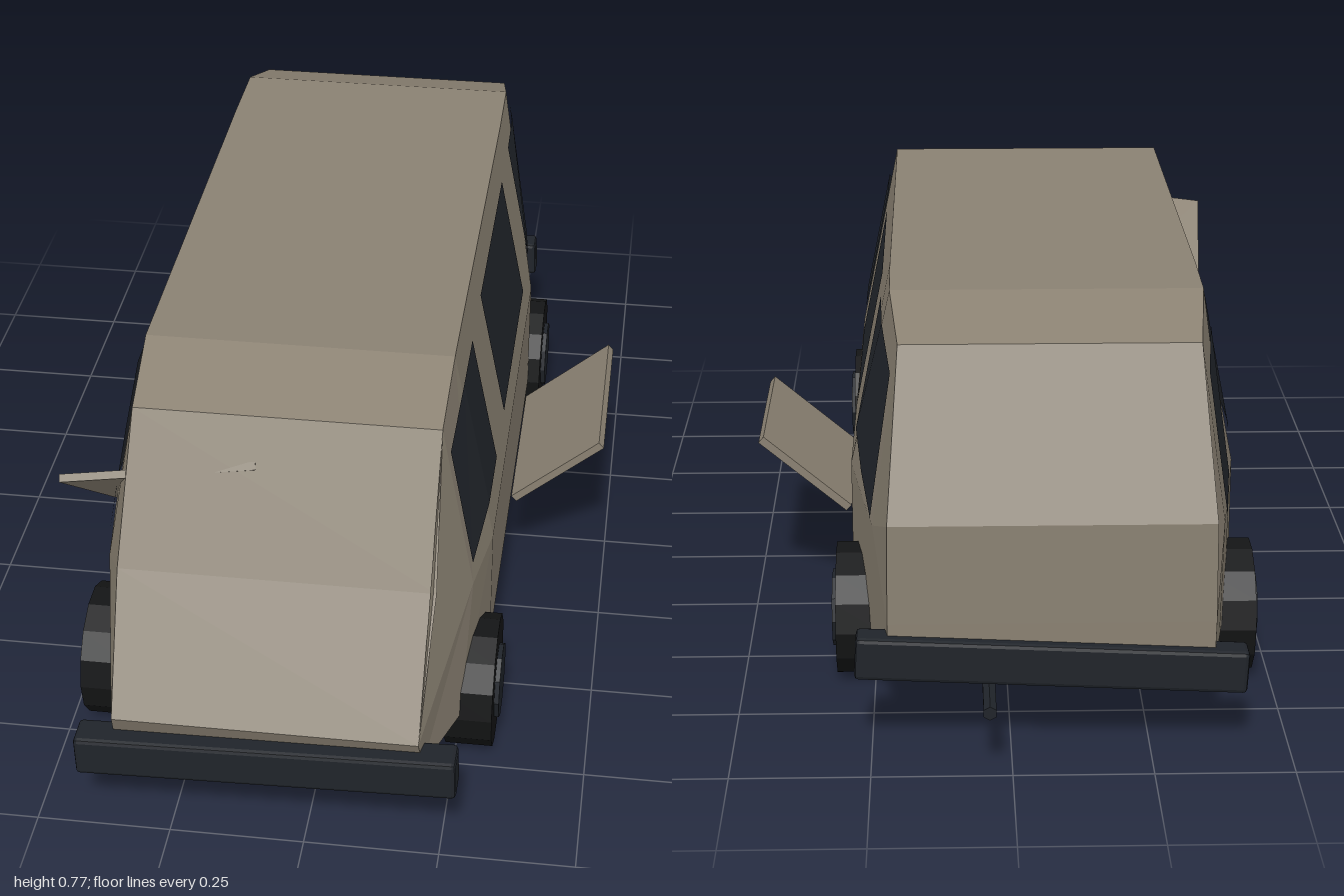
import * as THREE from 'three';
import { RoundedBoxGeometry } from 'three/addons/geometries/RoundedBoxGeometry.js';

const mat = (color, extra = {}) => new THREE.MeshStandardMaterial({ color, ...extra });
const paint = mat(0x8a8172, { flatShading: true });
const glass = mat(0x22262c, { side: THREE.DoubleSide });
const rubber = mat(0x141516, { flatShading: true });
const trim = mat(0x20242a, { flatShading: true });

// Body columns from nose to tail; each holds sill, belt and roof edge as [z, y, half width]
const columns = [
  [[0.945, 0.165, 0.285], [0.979, 0.24, 0.28], [0.818, 0.46, 0.292]],
  [[0.76, 0.135, 0.335], [0.668, 0.375, 0.345], [0.668, 0.713, 0.283]],
  [[0.513, 0.125, 0.368], [0.513, 0.375, 0.368], [0.513, 0.772, 0.288]],
  [[-0.42, 0.125, 0.368], [-0.42, 0.375, 0.368], [-0.42, 0.772, 0.288]],
  [[-0.588, 0.132, 0.342], [-0.588, 0.375, 0.344], [-0.588, 0.772, 0.286]],
  [[-0.743, 0.145, 0.316], [-0.743, 0.375, 0.32], [-0.743, 0.718, 0.27]],
  [[-0.9, 0.155, 0.29], [-0.9, 0.25, 0.292], [-0.898, 0.435, 0.29]],
];

function add(parent, name, geometry, material, x = 0, y = 0, z = 0) {
  const mesh = new THREE.Mesh(geometry, material);
  mesh.name = name;
  mesh.position.set(x, y, z);
  parent.add(mesh);
  return mesh;
}

// Geometry from a list of four-cornered faces
function quads(faces) {
  const pos = [];
  for (const [a, b, c, d] of faces) pos.push(...a, ...b, ...c, ...a, ...c, ...d);
  const g = new THREE.BufferGeometry();
  g.setAttribute('position', new THREE.Float32BufferAttribute(pos, 3));
  g.computeVertexNormals();
  return g;
}

function bodyGeometry() {
  const at = (p, s) => [s * p[2], p[1], p[0]];
  const faces = [];
  const last = columns.length - 1;
  // Side walls, mirrored
  for (let i = 0; i < last; i++) {
    for (let r = 0; r < 2; r++) {
      const ring = [columns[i][r], columns[i + 1][r], columns[i + 1][r + 1], columns[i][r + 1]];
      faces.push(ring.map((p) => at(p, 1)), ring.map((p) => at(p, -1)).reverse());
    }
  }
  // Nose, windscreen, roof, tail and floor span between the two walls
  const loop = [columns[0][0], columns[0][1], ...columns.map((c) => c[2]),
    columns[last][1], ...columns.map((c) => c[0]).reverse()];
  for (let i = 0; i < loop.length - 1; i++) {
    const p = loop[i], q = loop[i + 1];
    faces.push([at(p, 1), at(q, 1), at(q, -1), at(p, -1)]);
  }
  return quads(faces);
}

// Half width of the upper side wall at a given place
function wallHalf(z, y) {
  let i = 1;
  while (i < 4 && z < columns[i + 1][1][0]) i++;
  const a = columns[i], b = columns[i + 1];
  const t = (a[1][0] - z) / (a[1][0] - b[1][0]);
  const mix = (r, k) => a[r][k] + (b[r][k] - a[r][k]) * t;
  const u = (y - mix(1, 1)) / (mix(2, 1) - mix(1, 1));
  return mix(1, 2) + (mix(2, 2) - mix(1, 2)) * u;
}

// Window pane from [z, lower y, upper y] posts, laid on the wall
function windowGeometry(posts, side) {
  const at = (z, y) => [side * (wallHalf(z, y) + 0.006), y, z];
  const faces = [];
  for (let i = 0; i < posts.length - 1; i++) {
    const [z0, l0, h0] = posts[i], [z1, l1, h1] = posts[i + 1];
    const f = [at(z0, l0), at(z1, l1), at(z1, h1), at(z0, h0)];
    faces.push(side > 0 ? f : f.reverse());
  }
  return quads(faces);
}

// Thin plate from one corner and its two edge vectors
function plate(parent, name, corner, u, v, thickness) {
  const [c, a, b] = [corner, u, v].map((p) => new THREE.Vector3(...p));
  const g = new THREE.BoxGeometry(a.length(), thickness, b.length());
  const centre = c.clone().addScaledVector(a, 0.5).addScaledVector(b, 0.5);
  const x = a.clone().normalize();
  const y = b.clone().cross(a).normalize();
  const m = new THREE.Matrix4().makeBasis(x, y, x.clone().cross(y));
  const mesh = add(parent, name, g, paint, centre.x, centre.y, centre.z);
  mesh.quaternion.setFromRotationMatrix(m);
}

export function createModel() {
  const model = new THREE.Group();
  model.name = 'van';
  const van = new THREE.Group();
  van.name = 'vehicle';
  van.position.x = -0.072;
  model.add(van);
  add(van, 'body', bodyGeometry(), paint);

  // Windows differ between the two sides
  const windows = {
    leftFrontWindow: [1, [[0.665, 0.42, 0.665], [0.513, 0.45, 0.713], [0.358, 0.45, 0.713]]],
    leftMiddleWindow: [1, [[0.195, 0.45, 0.715], [-0.278, 0.45, 0.715]]],
    leftRearWindow: [1, [[-0.433, 0.45, 0.715], [-0.588, 0.42, 0.71], [-0.743, 0.39, 0.665]]],
    rightFrontWindow: [-1, [[0.66, 0.42, 0.665], [0.513, 0.45, 0.713], [0.19, 0.45, 0.713]]],
    rightMiddleWindow: [-1, [[0.03, 0.45, 0.715], [-0.42, 0.45, 0.715], [-0.44, 0.45, 0.715]]],
    rightRearWindow: [-1, [[-0.6, 0.42, 0.705], [-0.743, 0.39, 0.665]]],
  };
  for (const [name, [side, posts]] of Object.entries(windows)) {
    add(van, name, windowGeometry(posts, side), glass);
  }

  // Wheels with raised hubs
  for (const [end, z] of [['Front', 0.64], ['Rear', -0.545]]) {
    for (const s of [1, -1]) {
      const wheel = new THREE.Group();
      wheel.name = (s > 0 ? 'left' : 'right') + end + 'Wheel';
      wheel.position.set(s * 0.349, 0.127, z);
      const tyre = add(wheel, 'tyre', new THREE.CylinderGeometry(0.127, 0.127, 0.09, 14), rubber);
      const hub = add(wheel, 'hub', new THREE.CylinderGeometry(0.073, 0.073, 0.03, 10), trim, s * 0.039);
      tyre.rotation.z = hub.rotation.z = Math.PI / 2;
      van.add(wheel);
    }
  }

  // Slightly crooked bumpers
  const bumper = (name, h, d, y, z, tilt) => {
    add(van, name, new RoundedBoxGeometry(0.7, h, d, 1, 0.008), trim, 0, y, z).rotation.z = tilt;
  };
  bumper('frontBumper', 0.08, 0.064, 0.169, 0.968, 0.026);
  bumper('rearBumper', 0.08, 0.056, 0.174, -0.893, 0.05);

  // Exhaust pipe
  const pipe = add(model, 'exhaustPipe', new THREE.CylinderGeometry(0.013, 0.013, 0.32, 6), trim, 0.04, 0.124, -0.84);
  pipe.rotation.x = Math.PI / 2;

  // Open side flap and the loose panel lodged in the front corner
  plate(model, 'sideFlap', [0.31, 0.205, -0.23], [0.174, 0.148, 0], [0, 0, 0.38], 0.016);
  plate(model, 'loosePanel', [-0.492, 0.586, 0.73], [0.362, 0.05, -0.015], [0.04, -0.288, -0.358], 0.015);
  return model;
}
